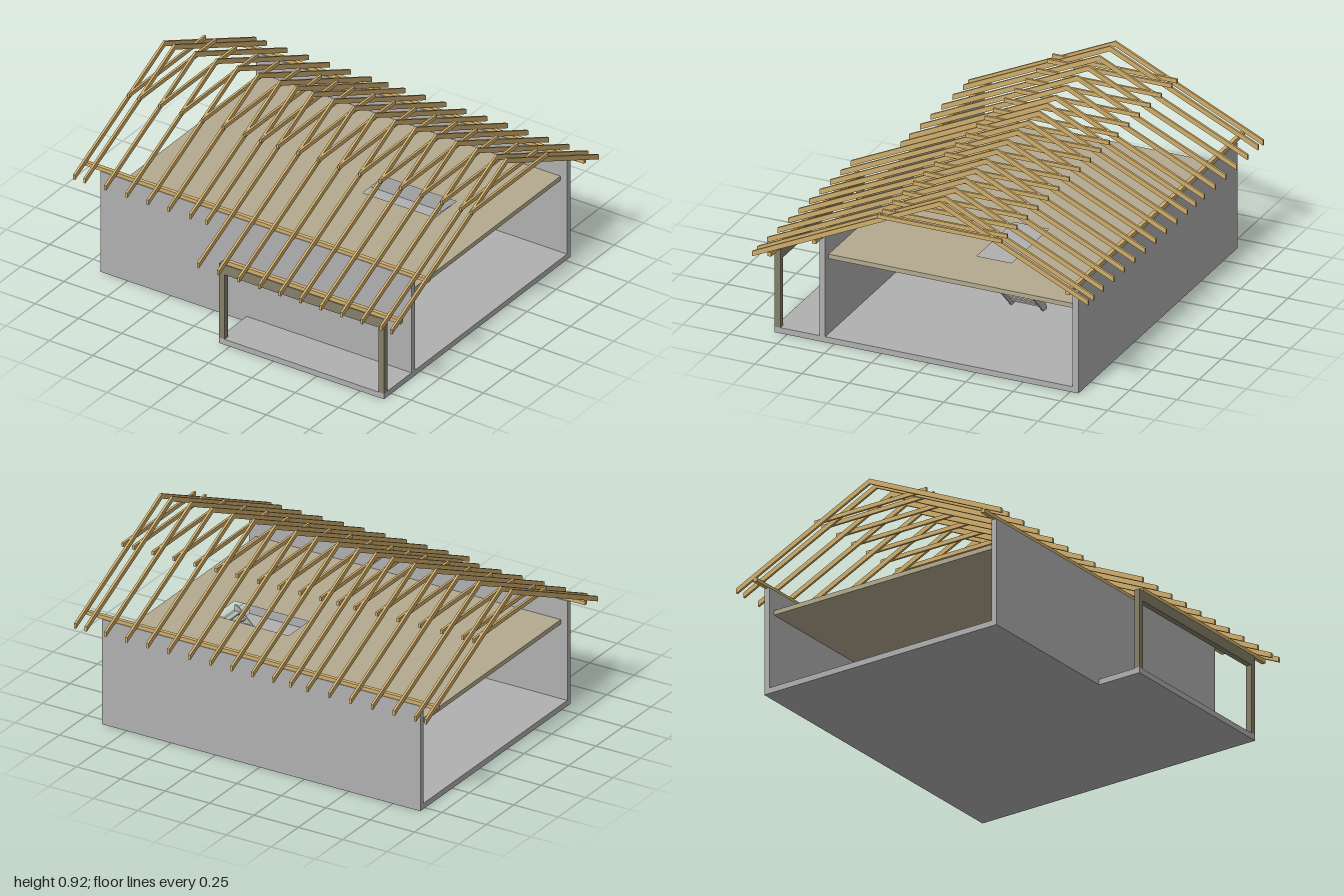
import * as THREE from 'three';

const makeMaterial = (name, color) => {
  const m = new THREE.MeshStandardMaterial({ color });
  m.name = name;
  return m;
};

export function createModel() {
  const model = new THREE.Group();
  model.name = 'houseFrame';
  const concrete = makeMaterial('concrete', 0xb0b0b0);
  const timber = makeMaterial('timber', 0xd0ae6c);
  const flooring = makeMaterial('atticFlooring', 0xb3aa8f);
  const porchPaint = makeMaterial('porchFrame', 0x857f68);
  const stairGrey = makeMaterial('stairGrey', 0xb8b6b0);

  const add = (name, geometry, material, parent = model) => {
    const mesh = new THREE.Mesh(geometry, material);
    mesh.name = name;
    parent.add(mesh);
    return mesh;
  };
  // Box given by its limits on each axis
  const box = (name, material, [x0, x1], [y0, y1], [z0, z1], parent) => {
    const g = new THREE.BoxGeometry(x1 - x0, y1 - y0, z1 - z0);
    g.translate((x0 + x1) / 2, (y0 + y1) / 2, (z0 + z1) / 2);
    return add(name, g, material, parent);
  };
  const polygon = (points) => new THREE.Shape(points.map(([x, y]) => new THREE.Vector2(x, y)));
  // Plan outline [x, z] raised from y0 to y1
  const plate = (points, y0, y1, hole) => {
    const shape = polygon(points.map(([x, z]) => [x, -z]));
    if (hole) shape.holes.push(polygon(hole.map(([x, z]) => [x, -z])));
    return new THREE.ExtrudeGeometry(shape, { depth: y1 - y0, bevelEnabled: false })
      .rotateX(-Math.PI / 2).translate(0, y0, 0);
  };
  const rect = (x0, x1, z0, z1) => [[x0, z0], [x1, z0], [x1, z1], [x0, z1]];

  // Ground slab with the porch extension
  const L = -0.905, R = 0.888, back = -0.793, front = 0.577, porchL = -0.063, porchF = 0.815;
  add('groundSlab', plate([[L, back], [R, back], [R, porchF], [porchL, porchF],
    [porchL, front], [L, front]], 0, 0.03), concrete);

  // Long walls, open at both ends
  box('frontWall', concrete, [L, R], [0.03, 0.56], [0.547, front]);
  box('backWall', concrete, [L, R], [0.03, 0.56], [back, -0.762]);

  // Attic floor with stair opening
  add('atticFloor', plate(rect(-0.868, 0.85, -0.762, 0.547), 0.428, 0.452,
    rect(0.15, 0.567, -0.288, -0.105)), flooring);

  // Porch portal
  const porch = new THREE.Group();
  porch.name = 'porchFrame';
  model.add(porch);
  const porchZ = [0.785, porchF];
  box('porchPostRight', porchPaint, [porchL, -0.031], [0.03, 0.39], porchZ, porch);
  box('porchPostLeft', porchPaint, [0.857, R], [0.03, 0.39], porchZ, porch);
  box('porchLintel', porchPaint, [porchL, R], [0.39, 0.445], porchZ, porch);

  // Wall plates carrying the rafters
  box('frontWallPlate', timber, [-1, 0.98], [0.56, 0.579], [0.553, 0.573]);
  box('backWallPlate', timber, [-1, 0.98], [0.56, 0.579], [-0.789, -0.769]);
  box('porchPlate', timber, [-0.022, 0.98], [0.445, 0.466], [0.79, 0.81]);

  // Rafter pairs: short front eaves, longer over the porch
  const ridgeZ = -0.105, ridgeY = 0.921, slope = 0.467, depth = 0.027, width = 0.012;
  const topY = (z) => ridgeY - slope * Math.abs(z - ridgeZ);
  const rafterGeometry = (eaveZ) => {
    const ends = [[eaveZ, topY(eaveZ)], [ridgeZ, ridgeY], [-0.89, topY(-0.89)]];
    const under = ends.map(([z, y]) => [z, y - depth]).reverse();
    return new THREE.ExtrudeGeometry(polygon([...ends, ...under]), { depth: width, bevelEnabled: false })
      .translate(0, 0, -width / 2).rotateY(-Math.PI / 2);
  };
  const shortRafter = rafterGeometry(0.672), longRafter = rafterGeometry(0.89);
  const tie = new THREE.BoxGeometry(width, 0.021, 0.66);
  const roof = new THREE.Group();
  roof.name = 'roofFrame';
  model.add(roof);
  const rafterX = [-0.994, -0.935, -0.815, -0.692, -0.57, -0.45, -0.327, -0.232, -0.135, -0.018,
    0.1, 0.218, 0.337, 0.455, 0.573, 0.692, 0.81, 0.92, 0.98];
  for (const x of rafterX) {
    add('rafterPair', x > -0.2 ? longRafter : shortRafter, timber, roof).position.x = x;
    add('collarTie', tie, timber, roof).position.set(x + width, 0.782, -0.108);
  }

  // Open stair climbing toward the left end
  const stair = new THREE.Group();
  stair.name = 'stair';
  model.add(stair);
  const stringer = new THREE.ExtrudeGeometry(
    polygon([[0.152, 0.03], [0.185, 0.03], [0.565, 0.405], [0.565, 0.435], [0.55, 0.435], [0.152, 0.05]]),
    { depth: 0.008, bevelEnabled: false });
  for (const z of [-0.279, -0.11]) add('stringer', stringer, stairGrey, stair).position.z = z;
  const steps = 14;
  for (let i = 0; i < steps; i++) {
    const x = 0.16 + i * 0.0285, y = 0.052 + i * 0.0266;
    box('tread', stairGrey, [x, x + 0.03], [y, y + 0.007], [-0.271, -0.11], stair);
  }

  return model;
}
